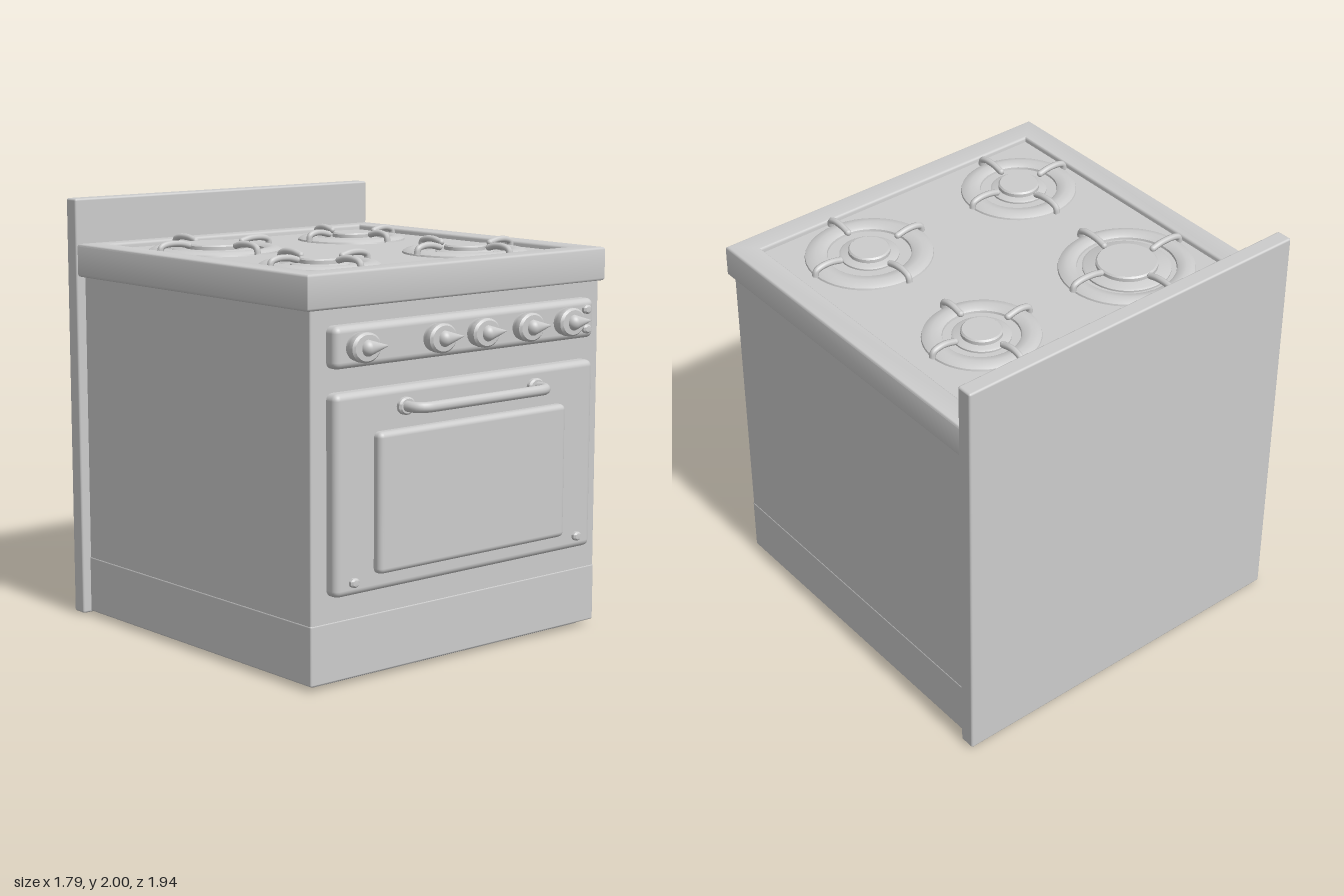
import * as THREE from 'three';
import { toCreasedNormals } from 'three/addons/utils/BufferGeometryUtils.js';
import { RoundedBoxGeometry } from 'three/addons/geometries/RoundedBoxGeometry.js';

const grey = new THREE.MeshStandardMaterial({ color: 0xcccccc });

function add(parent, name, geometry, x = 0, y = 0, z = 0) {
  const mesh = new THREE.Mesh(geometry, grey);
  mesh.name = name;
  mesh.position.set(x, y, z);
  parent.add(mesh);
  return mesh;
}

// rounded box given by its limits on each axis
function slab(parent, name, [x0, x1], [y0, y1], [z0, z1], r) {
  return add(parent, name, new RoundedBoxGeometry(x1 - x0, y1 - y0, z1 - z0, 3, r),
    (x0 + x1) / 2, (y0 + y1) / 2, (z0 + z1) / 2);
}

function lathe(points, segments = 48) {
  const profile = points.map(([r, y]) => new THREE.Vector2(r, y));
  return toCreasedNormals(new THREE.LatheGeometry(profile, segments), 0.7);
}

function rectangle(path, x0, x1, y0, y1) {
  path.moveTo(x0, y0);
  path.lineTo(x1, y0);
  path.lineTo(x1, y1);
  path.lineTo(x0, y1);
  path.closePath();
  return path;
}

const FLOOR = 1.765; // height of the sunken cooktop floor

// raised trim ring, burner with cap, and four grate arms
function createBurner(x, z, outer, inner, base, cap, armEnd) {
  const burner = new THREE.Group();
  burner.name = 'burner';
  burner.position.set(x, FLOOR, z);
  const ring = add(burner, 'burnerRing', lathe([
    [outer, -0.005], [outer - 0.004, 0.008], [outer - 0.02, 0.017], [(outer + inner) / 2, 0.023],
    [inner + 0.015, 0.018], [inner + 0.003, 0.01], [inner, -0.005],
  ]));
  ring.scale.z = 0.97;
  add(burner, 'burnerBase', lathe([[base, -0.005], [base, 0.008], [base - 0.01, 0.014], [0, 0.014]]));
  add(burner, 'burnerCap', lathe([[cap, 0.01], [cap, 0.03], [cap - 0.007, 0.037], [0, 0.037]]));

  const path = new THREE.CatmullRomCurve3([
    [outer + 0.002, 0.005], [outer - 0.005, 0.032], [outer - 0.035, 0.044],
    [armEnd + 0.05, 0.045], [armEnd, 0.034],
  ].map(([r, y]) => new THREE.Vector3(r, y, 0)));
  const armGeometry = new THREE.TubeGeometry(path, 20, 0.015, 8);
  for (let i = 0; i < 4; i++) {
    const arm = new THREE.Group();
    arm.name = 'grateArm';
    arm.rotation.y = i * Math.PI / 2;
    add(arm, 'grateBar', armGeometry);
    add(arm, 'grateTip', new THREE.SphereGeometry(0.015, 10, 8), armEnd, 0.034, 0);
    burner.add(arm);
  }
  return burner;
}

// half teardrop with its point towards +x
function pointerGeometry() {
  const g = new THREE.SphereGeometry(1, 28, 18);
  const p = g.attributes.position;
  for (let i = 0; i < p.count; i++) {
    const x = p.getX(i);
    const taper = x > 0 ? Math.sqrt(Math.max(0, (1 - x) / (1 + x))) : 1;
    p.setXYZ(i, x * (x > 0 ? 0.12 : 0.035), p.getY(i) * 0.036 * taper, p.getZ(i) * 0.036 * taper);
  }
  g.computeVertexNormals();
  return g;
}

function createKnob(x) {
  const knob = new THREE.Group();
  knob.name = 'knob';
  knob.position.set(x, 1.475, 0.84);
  const body = add(knob, 'knobBody', lathe([
    [0.062, 0], [0.062, 0.022], [0.065, 0.026], [0.065, 0.052], [0.056, 0.062], [0, 0.064],
  ], 36));
  body.rotation.x = Math.PI / 2;
  body.scale.x = 1.22;
  add(knob, 'knobPointer', pointerGeometry(), 0, 0, 0.06);
  return knob;
}

function createButton(name, x, y) {
  const geometry = lathe([[0.021, 0], [0.021, 0.02], [0.014, 0.028], [0, 0.03]], 24);
  geometry.rotateX(Math.PI / 2);
  const group = new THREE.Group();
  add(group, name, geometry, x, y, 0.84).scale.x = 1.2;
  return group.children[0];
}

export function createModel() {
  const model = new THREE.Group();
  model.name = 'stove';

  // carcass
  slab(model, 'plinth', [-0.81, 0.81], [0, 0.05], [-0.835, 0.735], 0.005);
  slab(model, 'lowerCabinet', [-0.865, 0.865], [0.022, 0.29], [-0.877, 0.787], 0.008);
  slab(model, 'upperCabinet', [-0.863, 0.863], [0.27, 1.66], [-0.875, 0.785], 0.008);
  slab(model, 'backPanel', [-0.895, 0.895], [0.01, 2], [-0.97, -0.892], 0.01);

  // cooktop: rim around a sunken floor
  const rim = rectangle(new THREE.Shape(), -0.888, 0.888, -0.8, 0.892);
  rim.holes.push(rectangle(new THREE.Path(), -0.77, 0.77, -0.685, 0.8));
  const rimGeometry = new THREE.ExtrudeGeometry(rim, {
    depth: 0.131, bevelEnabled: true, bevelThickness: 0.012, bevelSize: 0.012, bevelOffset: -0.012, bevelSegments: 3,
  });
  rimGeometry.rotateX(-Math.PI / 2);
  add(model, 'cooktopRim', toCreasedNormals(rimGeometry, 0.7), 0, 1.647, 0);
  slab(model, 'cooktopFloor', [-0.8, 0.8], [1.64, FLOOR], [-0.83, 0.72], 0.005);

  // burners: x, z, ring outer, ring inner, base, cap, arm end
  for (const b of [
    [-0.43, -0.43, 0.315, 0.225, 0.2, 0.14, 0.155],
    [0.4, -0.43, 0.265, 0.17, 0.13, 0.092, 0.145],
    [-0.47, 0.375, 0.275, 0.18, 0.13, 0.095, 0.13],
    [0.4, 0.375, 0.295, 0.19, 0.135, 0.095, 0.16],
  ]) model.add(createBurner(...b));

  // control panel
  slab(model, 'controlPanel', [-0.777, 0.775], [1.385, 1.567], [0.72, 0.847], 0.03);
  for (const x of [-0.645, -0.21, 0.048, 0.325, 0.585]) model.add(createKnob(x));
  for (const y of [1.43, 1.52]) model.add(createButton('indicatorButton', 0.717, y));

  // oven door
  slab(model, 'ovenDoor', [-0.777, 0.775], [0.405, 1.282], [0.72, 0.847], 0.03);
  slab(model, 'doorWindow', [-0.565, 0.56], [0.485, 1.103], [0.79, 0.89], 0.025);
  for (const x of [-0.68, 0.675]) model.add(createButton('doorStud', x, 0.465));

  // door handle
  const path = new THREE.CurvePath();
  const v = (x, z) => new THREE.Vector3(x, 1.197, z);
  path.add(new THREE.LineCurve3(v(-0.395, 0.84), v(-0.395, 0.88)));
  path.add(new THREE.QuadraticBezierCurve3(v(-0.395, 0.88), v(-0.395, 0.947), v(-0.32, 0.947)));
  path.add(new THREE.LineCurve3(v(-0.32, 0.947), v(0.32, 0.947)));
  path.add(new THREE.QuadraticBezierCurve3(v(0.32, 0.947), v(0.395, 0.947), v(0.395, 0.88)));
  path.add(new THREE.LineCurve3(v(0.395, 0.88), v(0.395, 0.84)));
  add(model, 'doorHandle', new THREE.TubeGeometry(path, 80, 0.024, 14));
  for (const x of [-0.39, 0.39]) {
    const mount = lathe([[0.039, 0], [0.039, 0.022], [0.032, 0.03], [0, 0.03]], 28);
    mount.rotateX(Math.PI / 2);
    add(model, 'handleMount', mount, x, 1.197, 0.84).scale.x = 1.2;
  }

  return model;
}
